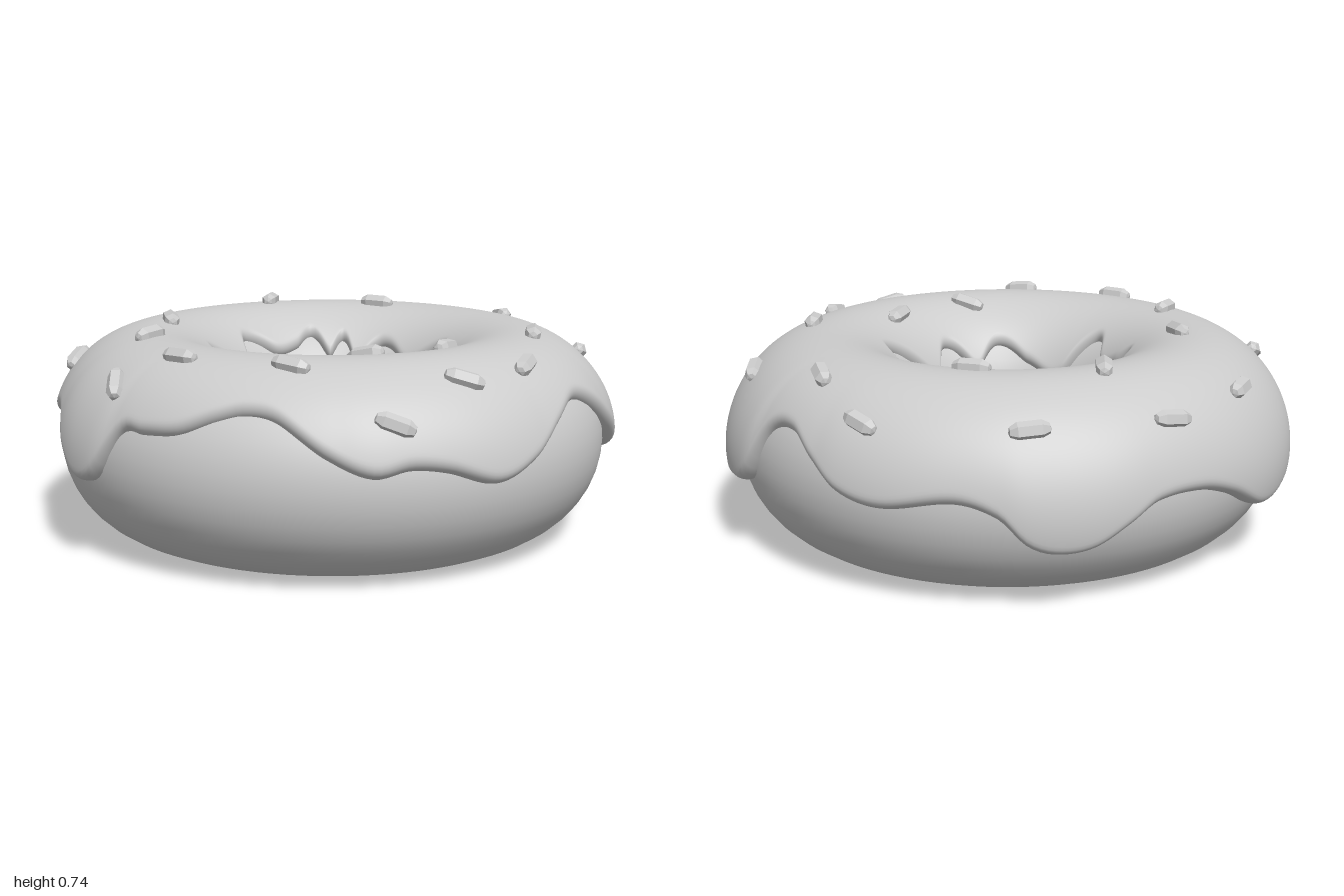
import * as THREE from 'three';

const CX = 0.02, CZ = -0.01;            // ring centre
const RING = 0.645, TUBE_W = 0.315, TUBE_H = 0.335;
const RAD = Math.PI / 180;

// Point on the ring: t goes round, p goes round the tube (0 outside, 90 top, 180 hole).
function ringPoint(t, p, off) {
  const r = RING + (TUBE_W + off) * Math.cos(p);
  return new THREE.Vector3(CX + r * Math.cos(t), TUBE_H + (TUBE_H + off) * Math.sin(p), CZ + r * Math.sin(t));
}

// Smooth periodic curve through [degrees, value] pairs, ascending within 360 degrees.
function periodic(pts) {
  const n = pts.length;
  const at = k => {
    const w = Math.floor(k / n);
    return [pts[k - w * n][0] + 360 * w, pts[k - w * n][1]];
  };
  return deg => {
    let d = deg;
    while (d < pts[0][0]) d += 360;
    while (d >= pts[0][0] + 360) d -= 360;
    let k = 0;
    while (at(k + 1)[0] <= d) k++;
    const [a, b, c, e] = [at(k - 1), at(k), at(k + 1), at(k + 2)];
    const h = c[0] - b[0], u = (d - b[0]) / h;
    const m0 = (c[1] - a[1]) / (c[0] - a[0]) * h, m1 = (e[1] - b[1]) / (e[0] - b[0]) * h;
    const u2 = u * u, u3 = u2 * u;
    return (2 * u3 - 3 * u2 + 1) * b[1] + (u3 - 2 * u2 + u) * m0 + (3 * u2 - 2 * u3) * c[1] + (u3 - u2) * m1;
  };
}

// Heights of the dripping outer edge
const outerEdge = periodic([
  [-178, 0.23], [-168, 0.31], [-160, 0.35], [-150, 0.345], [-144, 0.29], [-137, 0.23], [-130, 0.22],
  [-125, 0.25], [-120, 0.33], [-112, 0.37], [-98, 0.335], [-89, 0.36], [-82, 0.43], [-74, 0.5],
  [-66, 0.47], [-60, 0.3], [-51, 0.25], [-43, 0.245], [-35, 0.28], [-28, 0.35], [-15, 0.49],
  [-7, 0.525], [3, 0.47], [12, 0.385], [21, 0.34], [31, 0.39], [38, 0.405], [45, 0.385], [53, 0.44],
  [63, 0.54], [70, 0.555], [76, 0.53], [83, 0.485], [91, 0.47], [97, 0.46], [103, 0.31], [109, 0.28],
  [116, 0.34], [123, 0.42], [130, 0.44], [146, 0.36], [155, 0.31], [164, 0.25], [173, 0.22]]);

// Radii of the wavy edge inside the hole
const innerEdge = periodic([
  [5, 0.345], [21, 0.4], [38, 0.35], [52, 0.395], [70, 0.36], [95, 0.35], [110, 0.435], [125, 0.38],
  [139, 0.4], [147, 0.44], [160, 0.395], [171, 0.355], [184, 0.445], [200, 0.395], [213, 0.405],
  [222, 0.44], [231, 0.38], [238, 0.425], [247, 0.365], [260, 0.415], [282, 0.375], [304, 0.435],
  [317, 0.345], [335, 0.445]]);

// Surface over a closed loop of n sections with m steps each
function loopSurface(n, m, pointAt) {
  const pos = [], index = [];
  for (let i = 0; i < n; i++)
    for (let j = 0; j <= m; j++) pos.push(...pointAt(i / n * 360, j / m).toArray());
  for (let i = 0; i < n; i++)
    for (let j = 0; j < m; j++) {
      const a = i * (m + 1) + j, c = ((i + 1) % n) * (m + 1) + j;
      index.push(a, a + 1, c, a + 1, c + 1, c);
    }
  const g = new THREE.BufferGeometry();
  g.setAttribute('position', new THREE.Float32BufferAttribute(pos, 3));
  g.setIndex(index);
  g.computeVertexNormals();
  return g;
}

function icingPoint(deg, s) {
  const y = outerEdge(deg);
  const p0 = Math.asin((y - TUBE_H) / TUBE_H);
  const p1 = Math.acos((innerEdge(deg) - RING) / TUBE_W);
  const e = (1 - Math.cos(Math.PI * s)) / 2;       // denser towards both rims
  const p = p0 + (p1 - p0) * e;
  const d = Math.min(1, Math.min(p - p0, p1 - p) / 0.12);
  const round = Math.sqrt(Math.max(0, 1 - (1 - d) ** 2));
  // low drips are a little fatter near the outer rim
  const drip = 0.06 * Math.max(0, 0.42 - y) * Math.exp(-(((p - p0) / 0.7) ** 2)) * 2;
  return ringPoint(deg * RAD, p, -0.01 + (0.043 + drip) * round);
}

// Sprinkles: x, z, direction in degrees seen from above
const SPRINKLES = [
  [-0.01, -0.92, 10], [0.25, -0.78, 40], [0.67, -0.63, 60], [0.67, -0.3, 60], [0.53, 0.03, 80],
  [0.84, 0.04, 75], [0.42, 0.33, -10], [0.79, 0.32, -40], [0.73, 0.6, -35], [0.37, 0.65, -8],
  [-0.01, 0.74, 0], [-0.18, 0.86, 50], [-0.32, 0.56, 85], [-0.68, 0.56, 70], [-0.52, 0.25, 40],
  [-0.87, 0, 85], [-0.55, -0.35, 60], [-0.81, -0.38, -60], [-0.51, -0.74, -40], [-0.19, -0.57, -12]];

export function createModel() {
  const model = new THREE.Group();
  model.name = 'doughnut';
  const smooth = new THREE.MeshStandardMaterial({ color: 0xcccccc });
  const faceted = new THREE.MeshStandardMaterial({ color: 0xcccccc, flatShading: true });
  const add = (parent, name, geometry, material) => {
    const mesh = new THREE.Mesh(geometry, material);
    mesh.name = name;
    parent.add(mesh);
    return mesh;
  };

  // Dough ring
  const dough = new THREE.TorusGeometry(RING, TUBE_H, 40, 96);
  dough.rotateX(Math.PI / 2);
  const dp = dough.attributes.position;
  for (let i = 0; i < dp.count; i++) {             // narrow the tube slightly
    const x = dp.getX(i), z = dp.getZ(i), r = Math.hypot(x, z);
    const k = (RING + (r - RING) * TUBE_W / TUBE_H) / r;
    dp.setX(i, x * k);
    dp.setZ(i, z * k);
  }
  add(model, 'dough', dough, smooth).position.set(CX, TUBE_H, CZ);

  // Icing with dripping rims
  const icingMaterial = smooth.clone();
  icingMaterial.side = THREE.DoubleSide;
  add(model, 'icing', loopSurface(288, 56, icingPoint), icingMaterial);

  // Six-sided sprinkles lying on the icing
  const sprinkles = new THREE.Group();
  sprinkles.name = 'sprinkles';
  model.add(sprinkles);
  const profile = [[0, -0.066], [0.017, -0.062], [0.03, -0.038], [0.03, 0.038], [0.017, 0.062], [0, 0.066]];
  const grain = new THREE.LatheGeometry(profile.map(p => new THREE.Vector2(...p)), 6);
  for (const [x, z, deg] of SPRINKLES) {
    const t = Math.atan2(z - CZ, x - CX), r = Math.hypot(x - CX, z - CZ);
    const p = Math.acos(THREE.MathUtils.clamp((r - RING) / (TUBE_W + 0.038), -1, 1));
    const normal = new THREE.Vector3(Math.cos(p) * Math.cos(t), Math.sin(p), Math.cos(p) * Math.sin(t));
    const axis = new THREE.Vector3(Math.cos(deg * RAD), 0, Math.sin(deg * RAD));
    axis.y = -(axis.x * normal.x + axis.z * normal.z) / normal.y;   // lay flat on the surface
    axis.normalize();
    const side = new THREE.Vector3().crossVectors(axis, normal);
    const mesh = add(sprinkles, 'sprinkle', grain, faceted);
    mesh.position.copy(ringPoint(t, p, 0.038));
    mesh.quaternion.setFromRotationMatrix(new THREE.Matrix4().makeBasis(side, axis, normal));
  }
  return model;
}
